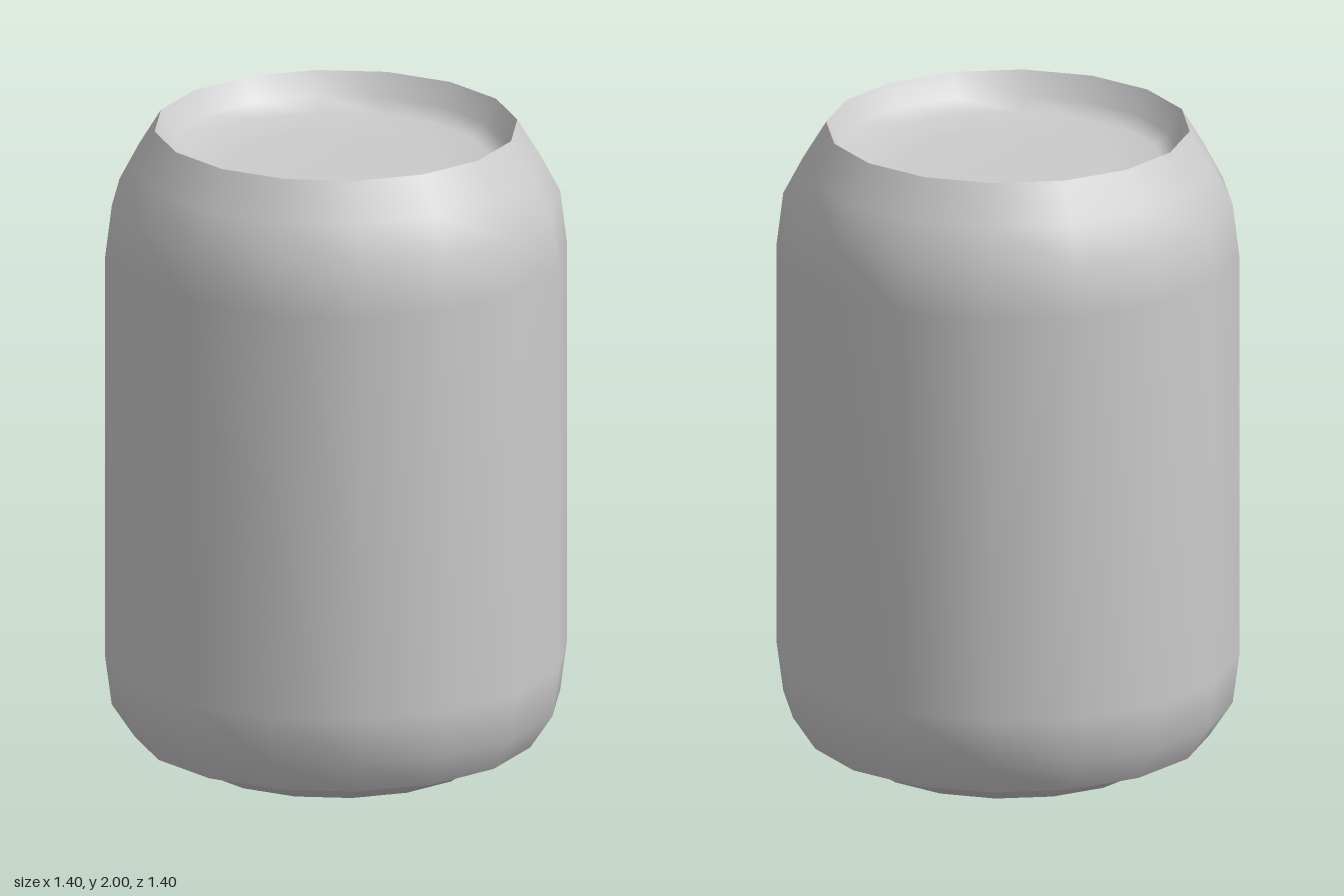
import * as THREE from 'three';

const SIDES = 16;

// Smooth surface of revolution from [radius, height] pairs
function revolve(name, profile, material) {
  const points = profile.map(([r, y]) => new THREE.Vector2(r, y));
  const mesh = new THREE.Mesh(new THREE.LatheGeometry(points, SIDES), material);
  mesh.name = name;
  return mesh;
}

export function createModel() {
  const group = new THREE.Group();
  group.name = 'can';
  const metal = new THREE.MeshStandardMaterial({ color: 0xcccccc, side: THREE.DoubleSide });

  // Underside: stepped foot around a shallow recess with a central point
  group.add(revolve('base', [
    [0, 0], [0.1, 0.035], [0.38, 0.045], [0.445, 0.012], [0.53, 0.075], [0.61, 0.085],
  ], metal));

  // Straight wall with rounded lower edge and tapered shoulder
  group.add(revolve('body', [
    [0.61, 0.085], [0.68, 0.19], [0.7, 0.34], [0.7, 1.61], [0.68, 1.77], [0.62, 1.885], [0.55, 2],
  ], metal));

  // Sunken lid inside the rim
  group.add(revolve('lid', [
    [0.55, 2], [0.51, 1.93], [0.47, 1.89], [0.3, 1.885], [0, 1.885],
  ], metal));

  return group;
}
